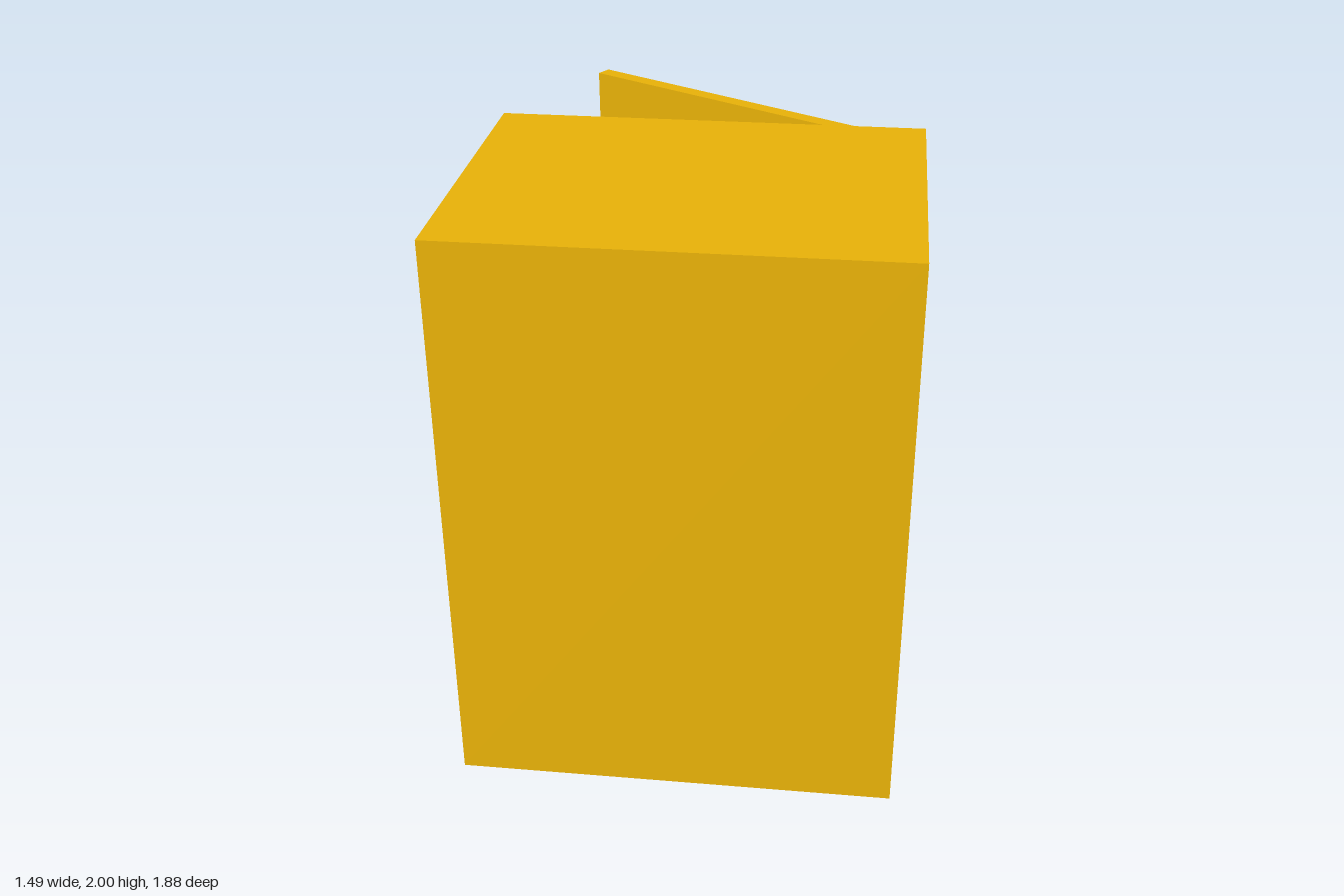
import * as THREE from 'three';

const W = 1.49, H = 2, BACK = -0.22, FRONT = 0.94;
const WALL = 0.045, PANEL = 0.115;
const DOOR = { w: 1.4, h: 1.885, t: 0.058 };

export function createModel() {
  const model = new THREE.Group();
  model.name = 'cabinet';
  const paint = new THREE.MeshStandardMaterial({ color: 0xeab308 });

  const add = (parent, name, geometry, x, y, z) => {
    const mesh = new THREE.Mesh(geometry, paint);
    mesh.name = name;
    mesh.position.set(x, y, z);
    parent.add(mesh);
    return mesh;
  };

  const rectangle = (Type, w, h) => new Type([
    new THREE.Vector2(-w / 2, -h / 2), new THREE.Vector2(w / 2, -h / 2),
    new THREE.Vector2(w / 2, h / 2), new THREE.Vector2(-w / 2, h / 2),
  ]);

  // Sides, top and floor as one hollow frame, open towards the door
  const frame = rectangle(THREE.Shape, W, H);
  frame.holes.push(rectangle(THREE.Path, W - 2 * WALL, H - 2 * WALL));
  const frameDepth = FRONT - PANEL - BACK;
  add(model, 'frame', new THREE.ExtrudeGeometry(frame, { depth: frameDepth, bevelEnabled: false }), 0, H / 2, BACK);

  // Closed panel opposite the door
  add(model, 'closingPanel', new THREE.BoxGeometry(W, H, PANEL), 0, H / 2, FRONT - PANEL / 2);

  // Door swung open by 30 degrees, with its handle on the outside
  const door = new THREE.Group();
  door.name = 'door';
  door.position.set(0.1, 0.065 + DOOR.h / 2, -0.5625);
  door.rotation.y = -Math.PI / 6;
  model.add(door);
  add(door, 'doorPanel', new THREE.BoxGeometry(DOOR.w, DOOR.h, DOOR.t), 0, 0, 0);

  // Bowed handle: x is the distance from the door surface, y is height
  const bow = (pts) => new THREE.SplineCurve(pts.map(([x, y]) => new THREE.Vector2(x, y))).getPoints(16);
  const outer = bow([[0, -0.1], [0.025, -0.096], [0.078, -0.045], [0.096, 0], [0.078, 0.045], [0.025, 0.096], [0, 0.1]]);
  const inner = bow([[0, 0.072], [0.042, 0.037], [0.061, 0], [0.042, -0.037], [0, -0.072]]);
  const handleWidth = 0.058;
  const handleGeometry = new THREE.ExtrudeGeometry(new THREE.Shape([...outer, ...inner]), { depth: handleWidth, bevelEnabled: false });
  handleGeometry.translate(0, 0, -handleWidth / 2);
  handleGeometry.rotateY(Math.PI / 2);
  add(door, 'handle', handleGeometry, -0.442, 1.118 - door.position.y, -DOOR.t / 2);

  return model;
}
